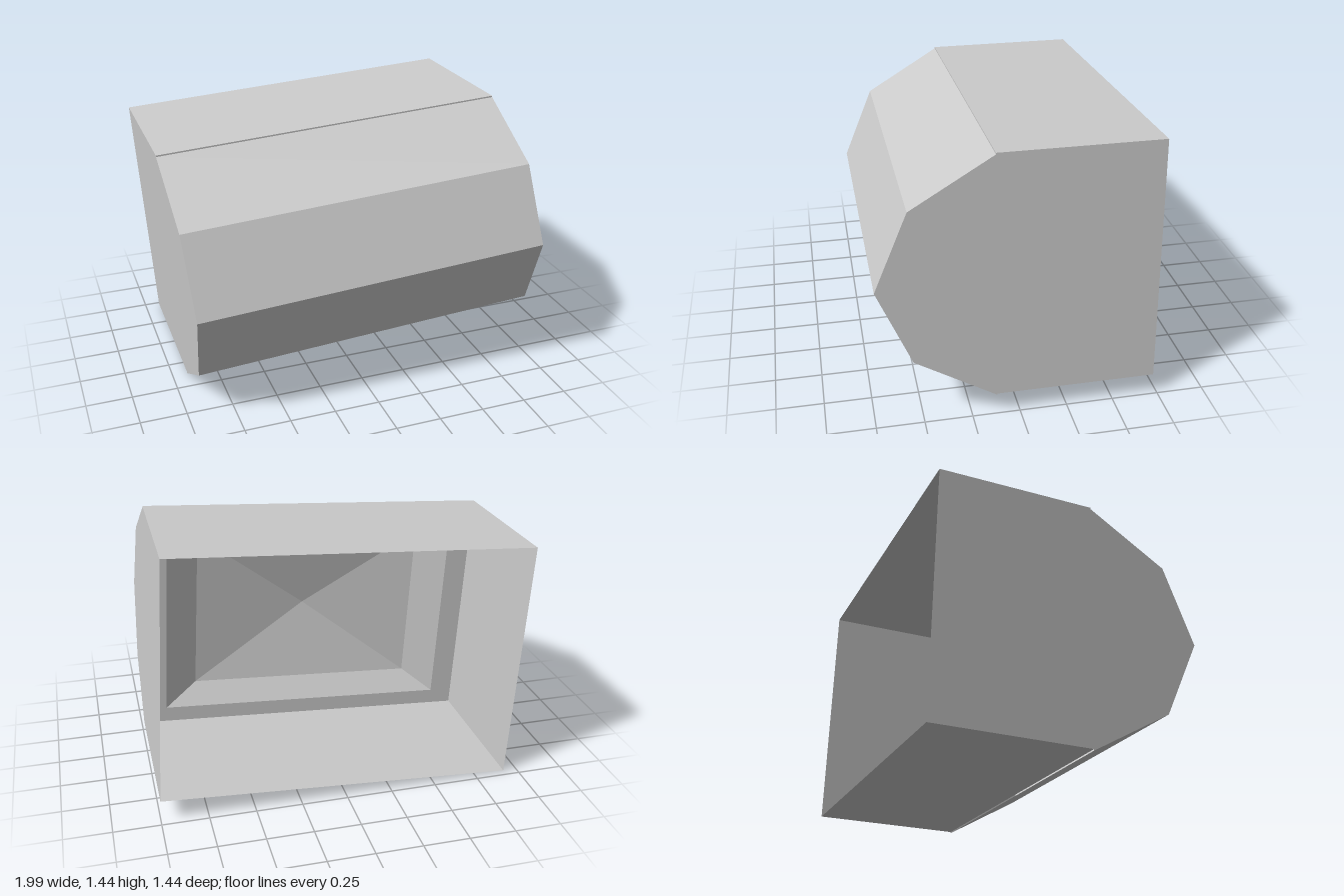
import * as THREE from 'three';

const HALF_W = 0.959, HALF_H = 0.662, BACK = -0.72, SEAM = 0.12, OFFSET = 0.004;
const material = new THREE.MeshStandardMaterial({
  color: 0xcccccc, flatShading: true, side: THREE.DoubleSide,
});

// Flat-shaded skin between successive rows of points
function skin(name, rows) {
  const pos = [];
  for (let r = 0; r < rows.length - 1; r++) {
    for (let i = 0; i < rows[r].length - 1; i++) {
      const a = rows[r][i], b = rows[r][i + 1];
      const c = rows[r + 1][i + 1], d = rows[r + 1][i];
      pos.push(...a, ...b, ...c, ...a, ...c, ...d);
    }
  }
  const geometry = new THREE.BufferGeometry();
  geometry.setAttribute('position', new THREE.Float32BufferAttribute(pos, 3));
  geometry.computeVertexNormals();
  const mesh = new THREE.Mesh(geometry, material);
  mesh.name = name;
  return mesh;
}

// Closed rectangular ring, inset from the shell outline
const ring = (insetX, insetY, z) => {
  const w = HALF_W - insetX, h = HALF_H - insetY;
  return [[-w, -h, z], [w, -h, z], [w, h, z], [-w, h, z], [-w, -h, z]];
};

export function createModel() {
  const group = new THREE.Group();
  const body = new THREE.Group();
  body.name = 'tiltedBody';

  // Rectangular sleeve, open at the back
  const shell = skin('openShell', [ring(0, 0, BACK), ring(0, 0, SEAM)]);
  shell.position.y = OFFSET;

  // Inner panel: flat border around a shallow faceted recess
  const panel = skin('recessedPanel', [
    ring(0, 0, SEAM),
    ring(0.13, 0.087, SEAM),
    ring(0.31, 0.21, 0.2),
    ring(HALF_W, HALF_H, 0.28),
  ]);
  panel.position.y = OFFSET;

  // Faceted rounded nose with flat end caps
  const profile = [[-0.662, SEAM], [-0.41, 0.545], [0, 0.72], [0.41, 0.545], [0.662, SEAM]];
  const section = (x) => profile.map(([y, z]) => [x, y, z]);
  const nose = new THREE.Group();
  nose.name = 'nose';
  nose.add(skin('noseSkin', [section(HALF_W), section(-HALF_W)]));
  for (const s of [1, -1]) {
    const x = s * HALF_W;
    const hub = profile.map(() => [x, 0, SEAM]);
    const rows = [section(x), hub];
    nose.add(skin(s > 0 ? 'leftCap' : 'rightCap', s > 0 ? rows.reverse() : rows));
  }
  nose.position.y = -OFFSET;

  body.add(shell, panel, nose);
  body.rotation.z = 0.06;
  body.position.y = 0.726;
  group.add(body);
  return group;
}
